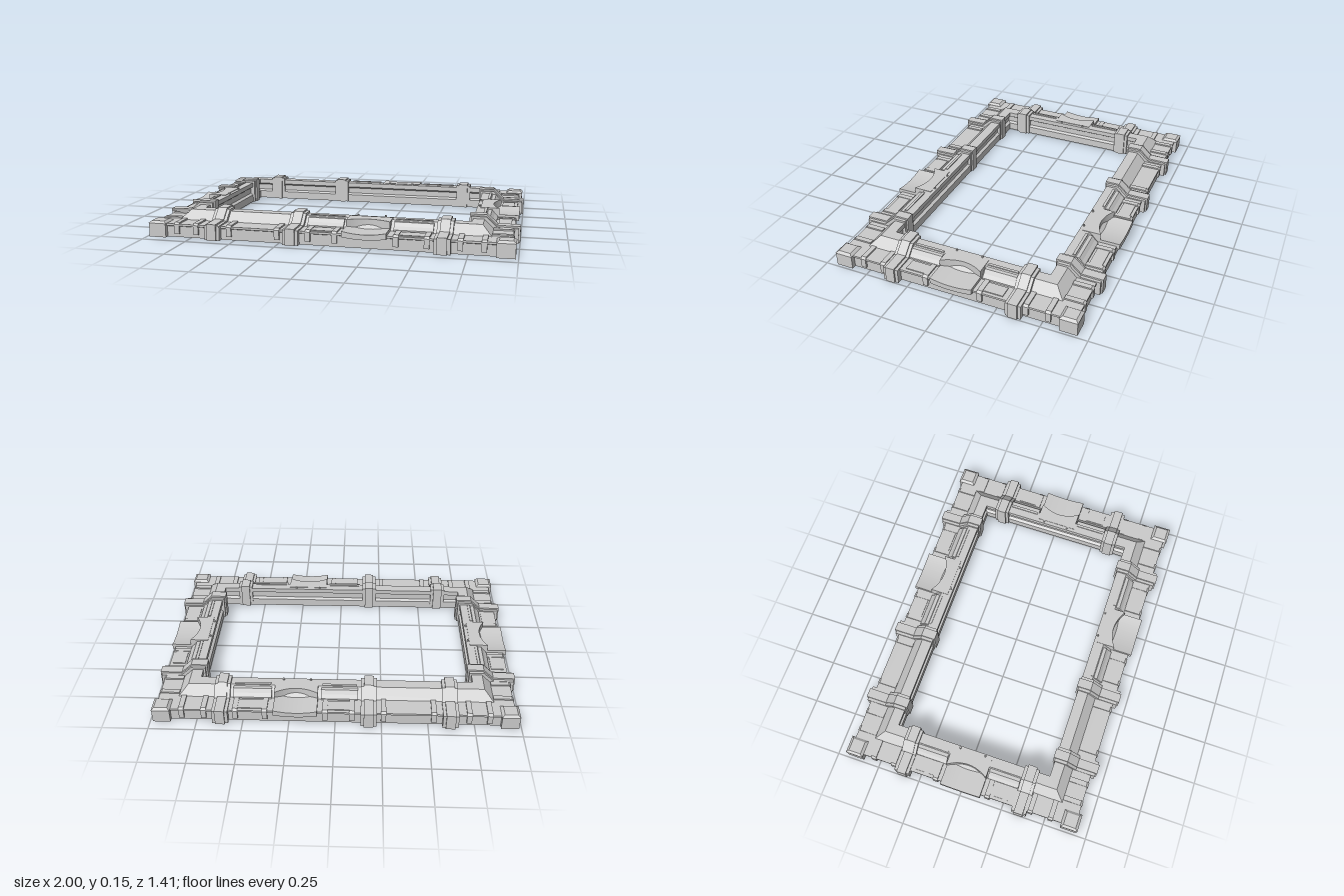
import * as THREE from 'three';

const INX = 0.75, INZ = 0.455; // half size of the opening

function add(parent, name, geo, x = 0, y = 0, z = 0) {
  const m = new THREE.Mesh(geo, new THREE.MeshStandardMaterial({ color: 0xcccccc, flatShading: true }));
  m.name = name;
  m.position.set(x, y, z);
  parent.add(m);
  return m;
}

// Box given by centre along the rail, width, and its ranges in y and outward d
function block(parent, name, x, w, y0, y1, d0, d1) {
  return add(parent, name, new THREE.BoxGeometry(w, y1 - y0, d1 - d0), x, (y0 + y1) / 2, (d0 + d1) / 2);
}

// Outline in (outward d, y), extruded along the rail and centred on x
function section(parent, name, pts, x, w) {
  const shape = new THREE.Shape(pts.map(([d, y]) => new THREE.Vector2(-d, y)));
  const geo = new THREE.ExtrudeGeometry(shape, { depth: w, bevelEnabled: false });
  geo.translate(0, 0, -w / 2);
  geo.rotateY(Math.PI / 2);
  return add(parent, name, geo, x);
}

// Closed rectangular ring with mitred corners; each profile point is [d, y]
function ringGeometry(profile) {
  const pos = [], idx = [], n = profile.length;
  for (const [d, y] of profile) {
    const X = INX + d, Z = INZ + d;
    pos.push(X, y, Z, -X, y, Z, -X, y, -Z, X, y, -Z);
  }
  for (let i = 0; i < n; i++) {
    const i2 = (i + 1) % n;
    for (let j = 0; j < 4; j++) {
      const j2 = (j + 1) % 4;
      const a = i * 4 + j, b = i * 4 + j2, c = i2 * 4 + j, d = i2 * 4 + j2;
      idx.push(a, b, c, b, d, c);
    }
  }
  const geo = new THREE.BufferGeometry();
  geo.setAttribute('position', new THREE.Float32BufferAttribute(pos, 3));
  geo.setIndex(idx);
  const flat = geo.toNonIndexed();
  flat.computeVertexNormals();
  return flat;
}

// Clamp wrapped over the rail: a wide body with a narrower, prouder strap
function clamp(parent, x, din, dout) {
  const wrap = (t) => [
    [din + t, 0], [dout - t, 0], [dout - t, 0.09 - t], [0.128, 0.092 - t], [0.07, 0.146 - t], [din + t, 0.146 - t],
  ];
  section(parent, 'clampBody', wrap(0.009), x, 0.086);
  section(parent, 'clampStrap', wrap(0), x, 0.052);
}

// Small rib across the outer ledge
function rib(parent, x) {
  section(parent, 'ledgeRib', [[0.11, 0.02], [0.222, 0.02], [0.222, 0.072], [0.21, 0.083], [0.11, 0.083]], x, 0.028);
}

// Slab on the upper slope with a bar along its top
function panel(parent, x, w) {
  section(parent, 'slopePanel', [[0.04, 0.08], [0.118, 0.06], [0.118, 0.084], [0.1, 0.1], [0.085, 0.12], [0.04, 0.12]], x, w);
  block(parent, 'panelBar', x, w * 0.94, 0.11, 0.13, 0.045, 0.06);
  block(parent, 'ledgePlate', x, w * 0.7, 0.06, 0.08, 0.13, 0.2);
}

// Scooped centrepiece: a dipped ledge below a concave wall
function scoop(parent, x) {
  const w = 0.118;
  const dip = new THREE.Shape();
  dip.moveTo(-w, 0.06);
  dip.quadraticCurveTo(0, 0.04, w, 0.06);
  dip.lineTo(w, 0.092);
  dip.quadraticCurveTo(0, 0.064, -w, 0.092);
  const ledge = new THREE.ExtrudeGeometry(dip, { depth: 0.135, bevelEnabled: false, curveSegments: 20 });
  add(parent, 'scoopLedge', ledge, x, 0, 0.1);

  const plan = new THREE.Shape();
  plan.moveTo(-w, -0.02);
  plan.lineTo(w, -0.02);
  plan.lineTo(w, -0.125);
  plan.quadraticCurveTo(0, -0.05, -w, -0.125);
  plan.closePath();
  const wall = new THREE.ExtrudeGeometry(plan, { depth: 0.068, bevelEnabled: false, curveSegments: 20 });
  wall.rotateX(-Math.PI / 2); // plan -y becomes outward d
  add(parent, 'scoopWall', wall, x, 0.06, 0);

  for (const s of [-1, 1]) {
    add(parent, 'scoopPin', new THREE.CylinderGeometry(0.006, 0.006, 0.02, 8), x + s * 0.075, 0.125, 0.012);
  }
}

// Fittings of one rail; local z points outward from the inner edge
function rail(name, spec, flip) {
  const g = new THREE.Group();
  g.name = name;
  spec.clamps.forEach((x) => clamp(g, x * flip, ...spec.wrap));
  spec.ribs.forEach((x) => rib(g, x * flip));
  spec.panels.forEach(([x, w]) => panel(g, x * flip, w));
  scoop(g, spec.scoop * flip);
  return g;
}

const LONG = {
  clamps: [-0.62, -0.18, 0.62],
  wrap: [-0.012, 0.248],
  ribs: [-0.83, -0.72, -0.53, -0.26, -0.09, 0.055, 0.38, 0.54, 0.71, 0.83],
  panels: [[-0.02, 0.2], [0.455, 0.21]],
  scoop: 0.215,
};
const SHORT = {
  clamps: [-0.35, 0.35],
  wrap: [-0.02, 0.25],
  ribs: [-0.53, -0.41, -0.155, 0.155, 0.41, 0.53],
  panels: [[-0.215, 0.18], [0.215, 0.18]],
  scoop: 0,
};

// Corner post with a faceted cap
function cornerPost(parent, sx, sz) {
  const g = new THREE.Group();
  g.name = 'cornerPost';
  g.position.set(sx * 0.938, 0, sz * 0.643);
  block(g, 'post', 0, 0.096, 0, 0.078, -0.048, 0.048);
  const cap = new THREE.CylinderGeometry(0.05, 0.0707, 0.012, 4).rotateY(Math.PI / 4);
  add(g, 'postCap', cap, 0, 0.083, 0);
  parent.add(g);
}

export function createModel() {
  const model = new THREE.Group();
  model.name = 'rectangularFrame';

  // Stepped frame body: grooved inside, sloped on top, with a lip round the outer ledge
  add(model, 'frameBody', ringGeometry([
    [0, 0], [0, 0.045], [0.016, 0.055], [0.016, 0.088], [0, 0.098], [0, 0.125],
    [0.06, 0.125], [0.11, 0.075], [0.218, 0.075], [0.218, 0.064], [0.21, 0.06], [0.21, 0],
  ]));

  // Four rails of fittings, with the back and front mirrored
  const sides = [
    ['frontRail', LONG, 1, 0, INZ, 0],
    ['backRail', LONG, -1, 0, -INZ, Math.PI],
    ['leftRail', SHORT, 1, INX, 0, Math.PI / 2],
    ['rightRail', SHORT, 1, -INX, 0, -Math.PI / 2],
  ];
  for (const [name, spec, flip, x, z, turn] of sides) {
    const g = rail(name, spec, flip);
    g.position.set(x, 0, z);
    g.rotation.y = turn;
    model.add(g);
  }

  for (const sx of [-1, 1]) for (const sz of [-1, 1]) cornerPost(model, sx, sz);
  return model;
}
